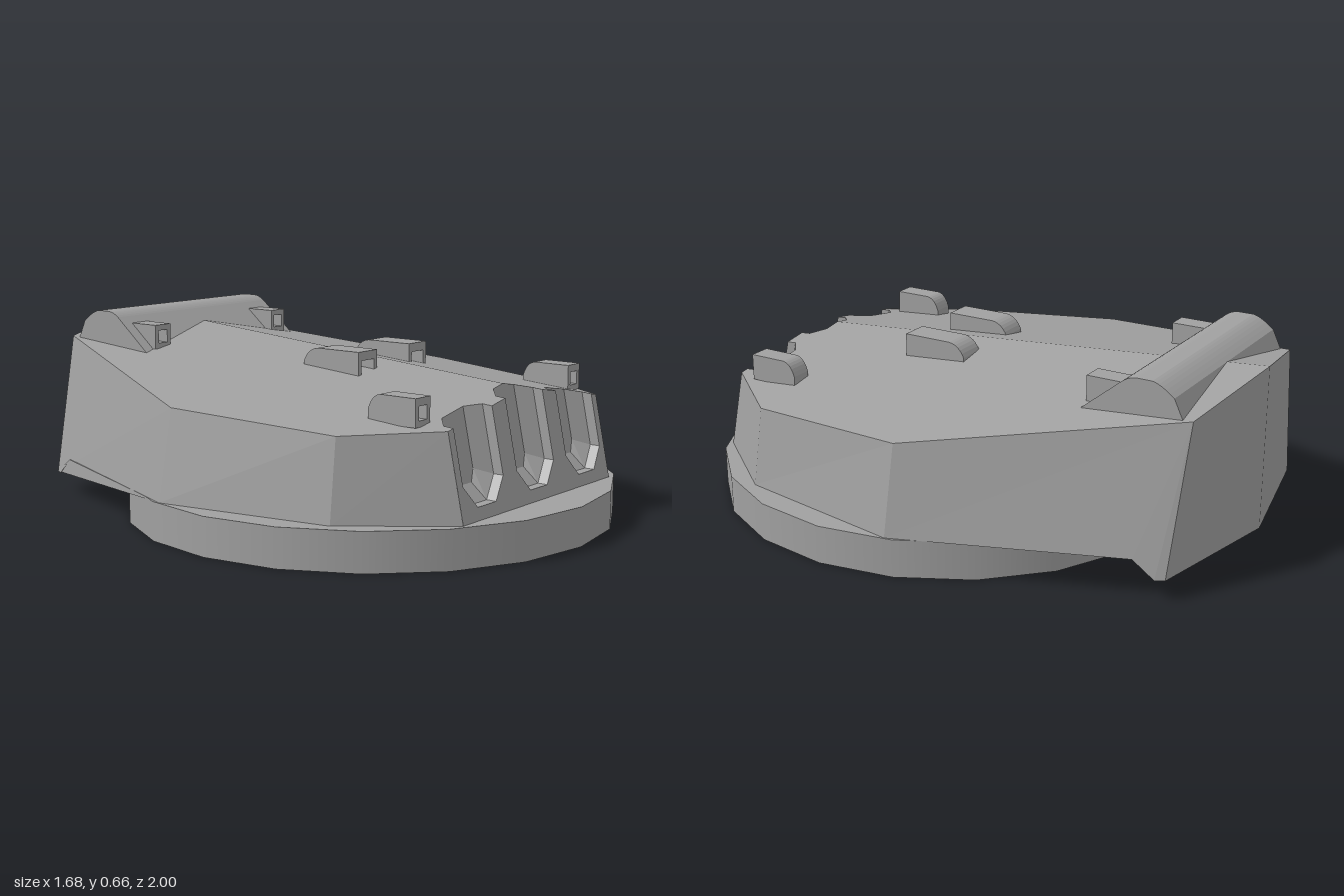
import * as THREE from 'three';

const grey = new THREE.MeshStandardMaterial({ color: 0xa0a0a0, side: THREE.DoubleSide });
grey.name = 'steelGrey';

// Roof plane on each side of the ridge, and the sloped front wall
const roofY = (x, z) => 0.549 - 0.17 * Math.abs(x) - 0.081 * z;
const wallZ = (y) => 0.878 - 0.214 * y;
// Roof point at x, a distance d behind the front wall
const roofEdge = (x, d = 0) => {
  const y = (0.478 - 0.17 * Math.abs(x) + 0.081 * d) / 0.9827;
  return [x, y, wallZ(y) - d];
};

function add(group, name, geometry) {
  const mesh = new THREE.Mesh(geometry, grey);
  mesh.name = name;
  group.add(mesh);
  return mesh;
}

// Flat-faced geometry from convex polygons
function faceted(polygons) {
  const pos = [];
  for (const p of polygons)
    for (let i = 1; i < p.length - 1; i++) pos.push(...p[0], ...p[i], ...p[i + 1]);
  const g = new THREE.BufferGeometry();
  g.setAttribute('position', new THREE.Float32BufferAttribute(pos, 3));
  g.computeVertexNormals();
  return g;
}
const mirror = (poly) => poly.map(([x, y, z]) => [-x, y, z]).reverse();

// Flat shape whose vertices are moved by a rule
function sheet(points, rule) {
  const g = new THREE.ShapeGeometry(new THREE.Shape(points.map(([x, y]) => new THREE.Vector2(x, y))));
  const p = g.attributes.position;
  for (let i = 0; i < p.count; i++) p.setXYZ(i, ...rule(p.getX(i), p.getY(i)));
  g.computeVertexNormals();
  return g;
}

// Side profile in (z, y), extruded across x
function crossways(shape, width) {
  const g = new THREE.ExtrudeGeometry(shape, { depth: width, bevelEnabled: false, curveSegments: 6 });
  return g.translate(0, 0, -width / 2).rotateY(-Math.PI / 2);
}

// Sight hood: hollow front box with a rounded solid tail
function sightHood(group, name, { x, z, w, bottom, top, length, hole }) {
  const hood = new THREE.Group();
  hood.name = name;
  const box = new THREE.Shape();
  box.moveTo(-w / 2, bottom).lineTo(w / 2, bottom).lineTo(w / 2, top).lineTo(-w / 2, top).closePath();
  const [hw, h0, h1] = hole;
  const cut = new THREE.Path();
  cut.moveTo(-hw, h0).lineTo(-hw, h1).lineTo(hw, h1).lineTo(hw, h0).closePath();
  box.holes.push(cut);
  const depth = length * 0.4;
  add(hood, 'hoodFrame', new THREE.ExtrudeGeometry(box, { depth, bevelEnabled: false }))
    .position.set(x, 0, z - depth);
  const tail = new THREE.Shape();
  const end = z - length, h = top - bottom;
  tail.moveTo(z - depth, bottom).lineTo(z - depth, top).lineTo(end + length * 0.25, top);
  tail.quadraticCurveTo(end + length * 0.08, top - h * 0.05, end, bottom + h * 0.45);
  tail.lineTo(end, bottom).closePath();
  add(hood, 'hoodTail', crossways(tail, w)).position.x = x;
  group.add(hood);
}

export function createModel() {
  const group = new THREE.Group();
  group.name = 'gunTurret';

  // Base ring
  add(group, 'baseRing', new THREE.CylinderGeometry(0.84, 0.84, 0.13, 20)).position.set(0, 0.065, 0.16);

  // Side and rear walls with the rear overhang lip
  const bottom = [[0.44, 0.13, 0.85], [0.69, 0.13, 0.54], [0.8, 0.13, -0.07]];
  const lip = [[0.53, 0.13, -0.8], [0.515, 0.07, -0.87], [0.5, 0.07, -0.9]];
  const top = [roofEdge(0.44), ...[[0.65, 0.53], [0.74, -0.07], [0.39, -0.92], [0, -1]]
    .map(([x, z]) => [x, roofY(x, z), z])];
  const rearFoot = [0, 0.07, -1], lipFoot = [0, 0.07, -0.97], lipTop = [0, 0.13, -0.9];
  const half = [
    [bottom[0], bottom[1], top[1], top[0]],
    [bottom[1], bottom[2], top[2], top[1]],
    [top[3], top[2], bottom[2], ...lip],
    [lip[2], rearFoot, top[4], top[3]],
    [lip[1], lipFoot, rearFoot, lip[2]],
    [lip[0], lipTop, lipFoot, lip[1]],
    [[0, 0.13, 0.85], lipTop, lip[0], bottom[2], bottom[1], bottom[0]],
  ];
  add(group, 'armourWalls', faceted([...half, ...half.map(mirror)]));

  // Roof halves, notched above the gun ports
  const notch = [[0, 0.075], [0.06, 0.075], [0.11, 0.035], [0.11, 0], [0.19, 0], [0.19, 0.035],
    [0.24, 0.075], [0.36, 0.075], [0.41, 0.035], [0.41, 0], [0.44, 0]];
  const outline = [...notch.map(([x, d]) => roofEdge(x, d)), ...top.slice(1)];
  for (const s of [1, -1])
    add(group, s > 0 ? 'roofLeft' : 'roofRight',
      sheet(outline.map(([x, , z]) => [s * x, -z]), (x, y) => [x, roofY(x, -y), -y]));

  // Front wall with three open-topped gun ports
  const ports = [0.3, 0, -0.3];
  const wall = [[-0.44, 0.13], [0.44, 0.13], roofEdge(0.44)];
  for (const c of ports)
    wall.push(roofEdge(c + 0.11), [c + 0.11, 0.24], [c + 0.05, 0.17],
      [c - 0.05, 0.17], [c - 0.11, 0.24], roofEdge(c - 0.11));
  wall.push(roofEdge(-0.44));
  add(group, 'frontWall', sheet(wall, (x, y) => [x, y, wallZ(y)]));

  // Recessed pocket behind each port
  for (const c of ports) {
    const loop = (d, w, sideY, footW, footY) => [
      roofEdge(c - w, d), [c - w, sideY, wallZ(sideY) - d], [c - footW, footY, wallZ(footY) - d],
      [c + footW, footY, wallZ(footY) - d], [c + w, sideY, wallZ(sideY) - d], roofEdge(c + w, d)];
    const loops = [loop(0, 0.11, 0.24, 0.05, 0.17), loop(0.035, 0.11, 0.24, 0.05, 0.17),
      loop(0.075, 0.06, 0.26, 0.04, 0.22)];
    const faces = [[roofEdge(c, 0.075), ...loops[2]]];
    for (let k = 0; k < 2; k++)
      for (let i = 0; i < 5; i++)
        faces.push([loops[k][i], loops[k][i + 1], loops[k + 1][i + 1], loops[k + 1][i]]);
    add(group, 'gunPort', faceted(faces));
  }

  // Rangefinder housing across the rear of the roof
  const finder = new THREE.Shape();
  finder.moveTo(-0.535, 0.515).lineTo(-0.535, 0.524).lineTo(-0.68, 0.642);
  finder.quadraticCurveTo(-0.705, 0.66, -0.73, 0.66);
  finder.lineTo(-0.78, 0.66).quadraticCurveTo(-0.81, 0.655, -0.855, 0.618);
  finder.lineTo(-0.885, 0.555).lineTo(-0.885, 0.515).closePath();
  add(group, 'rangefinder', crossways(finder, 0.78));

  // Mirrored pairs of sight hoods
  for (const s of [1, -1]) {
    sightHood(group, 'frontSightHood', { x: s * 0.443, z: 0.7, w: 0.075, bottom: 0.415, top: 0.505, length: 0.18, hole: [0.021, 0.435, 0.48] });
    sightHood(group, 'middleSightHood', { x: s * 0.14, z: 0.255, w: 0.1, bottom: 0.49, top: 0.575, length: 0.235, hole: [0.033, 0.495, 0.545] });
    sightHood(group, 'rearSightHood', { x: s * 0.31, z: -0.535, w: 0.075, bottom: 0.535, top: 0.62, length: 0.16, hole: [0.021, 0.555, 0.6] });
  }
  return group;
}
